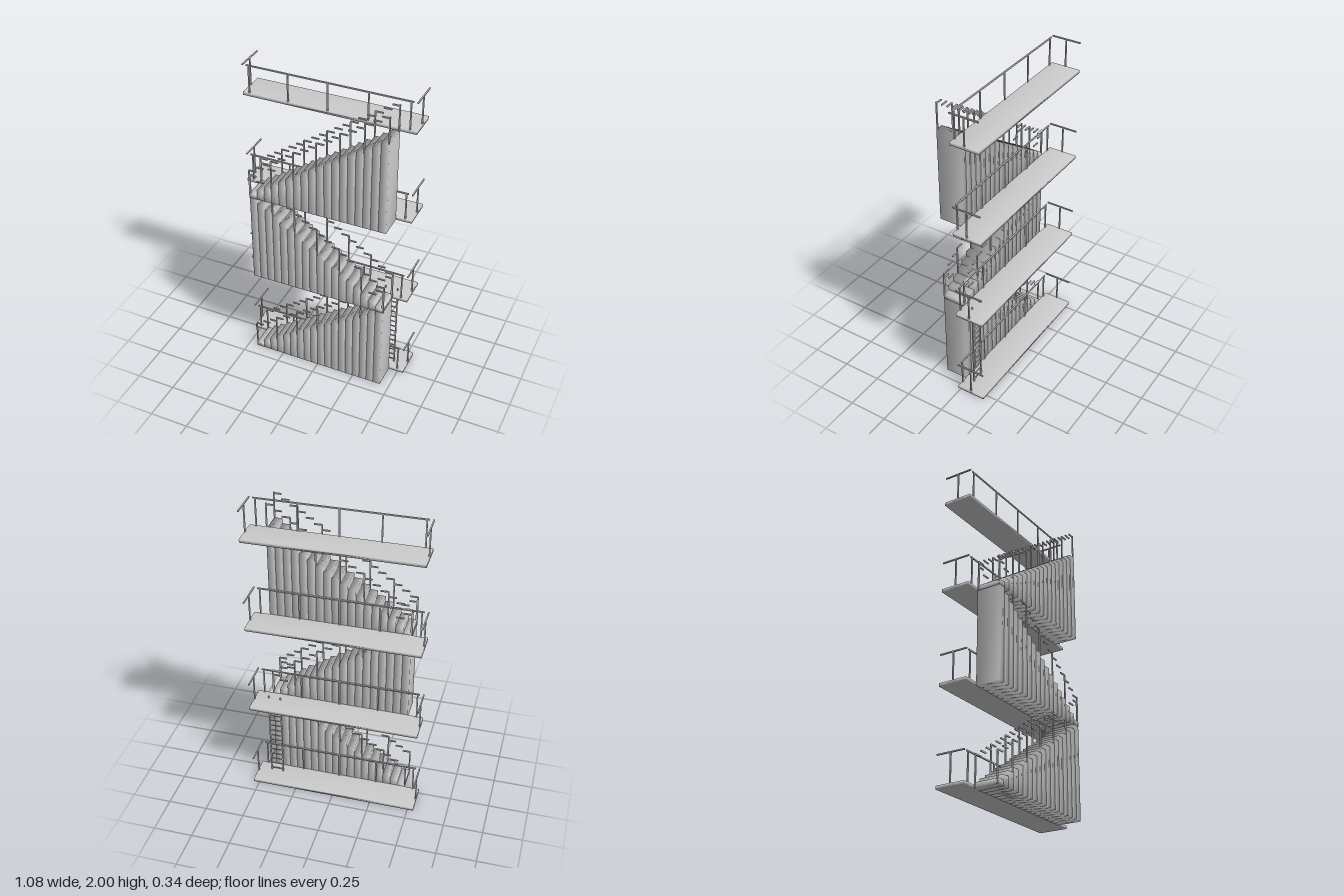
import * as THREE from 'three';
import { mergeVertices } from 'three/addons/utils/BufferGeometryUtils.js';

const grey = new THREE.MeshStandardMaterial({ color: 0xcccccc });

// Box given by its min and max corners; soft boxes share normals across their edges
function block(name, [x0, y0, z0], [x1, y1, z1], soft = false) {
  let g = new THREE.BoxGeometry(x1 - x0, y1 - y0, z1 - z0);
  if (soft) {
    g.deleteAttribute('normal');
    g.deleteAttribute('uv');
    g = mergeVertices(g);
    g.computeVertexNormals();
  }
  const mesh = new THREE.Mesh(g, grey);
  mesh.name = name;
  mesh.position.set((x0 + x1) / 2, (y0 + y1) / 2, (z0 + z1) / 2);
  return mesh;
}

const T = 0.008; // bar thickness
const post = (name, x, z, y0, y1) =>
  block(name, [x - T / 2, y0, z - T / 2], [x + T / 2, y1, z + T / 2]);

const BACK = -0.171, MID = 0.016, FRONT = 0.171;
const STOREY = 0.6, STEPS = 18, HALF = 0.44;

// Landing slab with a long front railing and a short railing at each end
function landing(y) {
  const g = new THREE.Group();
  g.name = 'landing';
  g.add(block('slab', [-0.538, 0, BACK], [0.538, 0.02, MID], true));
  const z = MID - 0.005, top = 0.2;
  g.add(block('longRail', [-0.51, top - T, z - T / 2], [0.51, top, z + T / 2]));
  for (let i = -2; i <= 2; i++) g.add(post('longRailPost', i * 0.248, z, 0.02, top - T));
  for (const s of [-1, 1]) {
    const x = s * 0.534;
    g.add(block('endRail', [x - T / 2, top - T, BACK], [x + T / 2, top, MID]));
    g.add(post('endRailPost', x, -0.077, 0.02, top - T));
  }
  g.position.y = y;
  return g;
}

// Flight of solid steps; dir = 1 climbs towards +x, -1 towards -x
function flight(y, dir) {
  const g = new THREE.Group();
  g.name = 'flight';
  const w = 2 * HALF / STEPS, rise = STOREY / STEPS, railUp = 0.16;
  for (let i = 0; i < STEPS; i++) {
    const a = dir * (-HALF + i * w), b = a + dir * w;
    const x0 = Math.min(a, b), x1 = Math.max(a, b), top = (i + 1) * rise;
    g.add(block('step', [x0, 0, MID], [x1, top, FRONT], true));
    for (const z of [MID + 0.005, FRONT - 0.005]) {
      // stepped handrail pieces, a post on every third step
      const h = top + railUp;
      g.add(block('handrail', [x0, h - T / 2, z - T / 2], [x1, h + T / 2, z + T / 2]));
      if (i % 3 === 0) g.add(post('handrailPost', a, z, top - rise, h));
      if (i === STEPS - 1) g.add(post('handrailPost', b - dir * T / 2, z, top, h + T));
    }
  }
  g.position.y = y;
  return g;
}

// Upright ladder from the ground to the first landing
function ladder() {
  const g = new THREE.Group();
  g.name = 'ladder';
  const z = -0.045, x0 = 0.373, x1 = 0.452;
  for (const x of [x0, x1]) g.add(post('ladderRail', x, z, 0, 0.635));
  for (let y = 0.04; y < 0.62; y += 0.04)
    g.add(block('rung', [x0, y - 0.003, z - 0.003], [x1, y + 0.003, z + 0.003]));
  return g;
}

export function createModel() {
  const model = new THREE.Group();
  model.name = 'staircaseTower';
  for (let i = 0; i < 4; i++) model.add(landing(i * STOREY));
  for (let i = 0; i < 3; i++) model.add(flight(i * STOREY, i % 2 ? -1 : 1));
  model.add(ladder());
  return model;
}
